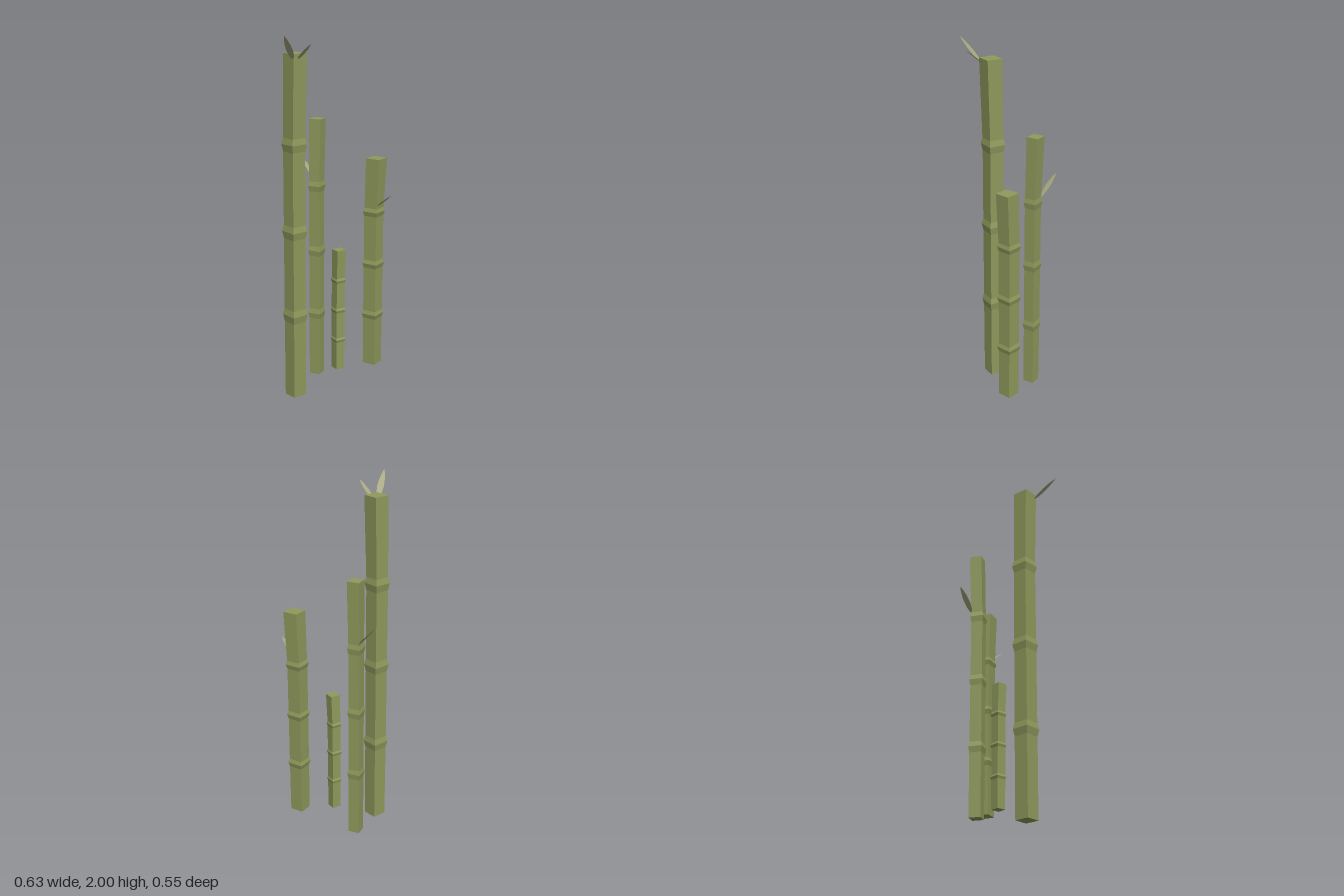
import * as THREE from 'three';

const stalkMaterial = new THREE.MeshStandardMaterial({ color: 0x8f995c, flatShading: true });
const leafMaterial = new THREE.MeshStandardMaterial({ color: 0xa6a67c, flatShading: true, side: THREE.DoubleSide });

const SEGMENTS = 4;

// Square stalk: bulging knots between segments, top segment leaning along (leanX, leanZ)
function makeStalk({ name, x, z, bottom, top, half, turn, leanX, leanZ }) {
  const height = top - bottom;
  const seg = height / SEGMENTS;
  const profile = [[0, 0], [half, 0]];
  for (let i = 1; i < SEGMENTS; i++) {
    profile.push([half * 1.02, (i - 0.085) * seg], [half * 1.19, i * seg], [half * 1.02, (i + 0.07) * seg]);
  }
  profile.push([half * 1.1, height], [0, height]);

  const points = profile.map(([h, y]) => new THREE.Vector2(h * Math.SQRT2, y));
  const geometry = new THREE.LatheGeometry(points, 4, Math.PI / 4);
  geometry.rotateY(THREE.MathUtils.degToRad(turn));

  // Lean everything above the last knot
  const pos = geometry.attributes.position;
  for (let i = 0; i < pos.count; i++) {
    const t = Math.max(0, pos.getY(i) / seg - (SEGMENTS - 1));
    pos.setX(i, pos.getX(i) + leanX * t);
    pos.setZ(i, pos.getZ(i) + leanZ * t);
  }
  geometry.computeVertexNormals();

  const mesh = new THREE.Mesh(geometry, stalkMaterial);
  mesh.name = name;
  mesh.position.set(x, bottom, z);
  return mesh;
}

// Flat pointed leaf from its base to its tip, its width lying horizontal
function makeLeaf(name, from, to, width) {
  const base = new THREE.Vector3(...from);
  const along = new THREE.Vector3(...to).sub(base);
  const length = along.length();
  along.normalize();
  const across = new THREE.Vector3(0, 1, 0).cross(along).normalize();
  const normal = across.clone().cross(along);

  const half = [[0.3, 0], [0.8, 0.2], [1, 0.42], [0.85, 0.65], [0.45, 0.86]]
    .map(([w, t]) => new THREE.Vector2(w * width / 2, t * length));
  const mirrored = half.map((p) => new THREE.Vector2(-p.x, p.y)).reverse();
  const shape = new THREE.Shape([...half, new THREE.Vector2(0, length), ...mirrored]);

  const geometry = new THREE.ShapeGeometry(shape);
  geometry.applyMatrix4(new THREE.Matrix4().makeBasis(across, along, normal).setPosition(base));
  const mesh = new THREE.Mesh(geometry, leafMaterial);
  mesh.name = name;
  return mesh;
}

export function createModel() {
  const group = new THREE.Group();
  group.name = 'bambooCluster';

  // Four stalks of different height and thickness
  const stalks = [
    { name: 'tallStalk', x: -0.17, z: -0.024, bottom: 0, top: 1.9, half: 0.0405, turn: 0, leanX: 0.001, leanZ: 0.012 },
    { name: 'backStalk', x: 0.071, z: -0.13, bottom: 0.03, top: 1.52, half: 0.031, turn: 25, leanX: 0.01, leanZ: -0.005 },
    { name: 'frontStalk', x: 0.259, z: 0.136, bottom: 0.13, top: 1.32, half: 0.0375, turn: 16, leanX: 0.003, leanZ: 0.012 },
    { name: 'shortStalk', x: 0.081, z: 0.045, bottom: 0.115, top: 0.815, half: 0.0255, turn: -8, leanX: 0, leanZ: 0.007 },
  ];
  stalks.forEach((s) => group.add(makeStalk(s)));

  // Leaves sprouting near the knots
  group.add(
    makeLeaf('tallStalkSideLeaf', [-0.207, 1.87, 0.02], [-0.316, 2.0, 0.089], 0.036),
    makeLeaf('tallStalkFrontLeaf', [-0.181, 1.87, 0.024], [-0.178, 1.957, 0.13], 0.029),
    makeLeaf('backStalkLeaf', [0.09, 1.175, -0.165], [0.076, 1.29, -0.274], 0.034),
    makeLeaf('frontStalkLeaf', [0.246, 1.057, 0.175], [0.252, 1.135, 0.275], 0.03),
  );
  return group;
}
